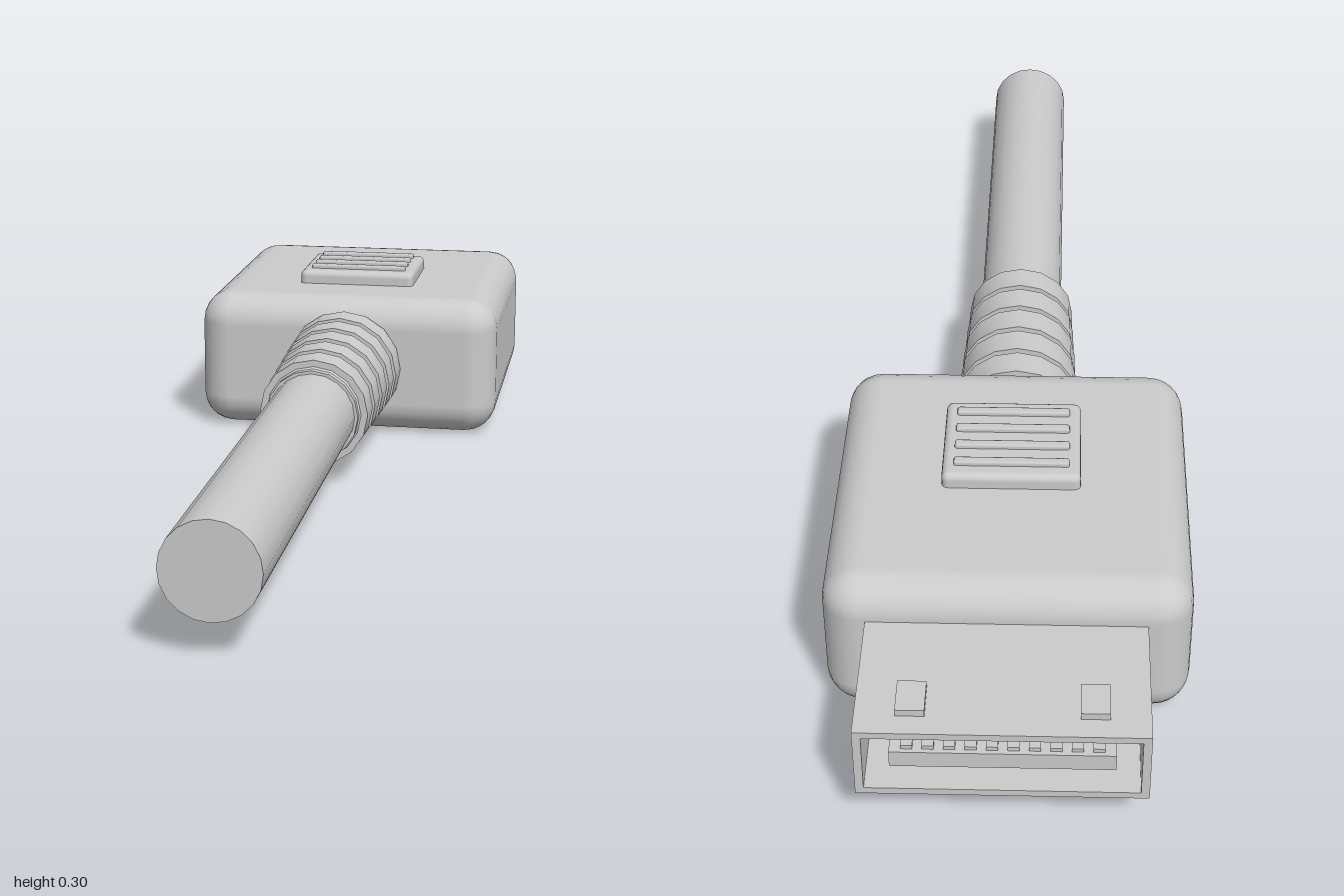
import * as THREE from 'three';
import { toCreasedNormals } from 'three/addons/utils/BufferGeometryUtils.js';
import { RoundedBoxGeometry } from 'three/addons/geometries/RoundedBoxGeometry.js';

const AXIS_Y = 0.133; // height of the cable axis

export function createModel() {
  const model = new THREE.Group();
  const grey = new THREE.MeshStandardMaterial({ color: 0xcccccc });

  const add = (name, geometry, x, y, z, parent = model) => {
    const mesh = new THREE.Mesh(geometry, grey);
    mesh.name = name;
    mesh.position.set(x, y, z);
    parent.add(mesh);
    return mesh;
  };
  const group = (name) => {
    const g = new THREE.Group();
    g.name = name;
    model.add(g);
    return g;
  };
  // Box given by its limits on each axis
  const block = (name, [x0, x1], [y0, y1], [z0, z1], parent) =>
    add(name, new THREE.BoxGeometry(x1 - x0, y1 - y0, z1 - z0),
      (x0 + x1) / 2, (y0 + y1) / 2, (z0 + z1) / 2, parent);

  // Moulded body
  add('body', new RoundedBoxGeometry(0.585, 0.266, 0.595, 3, 0.06), 0, AXIS_Y, -0.473);

  // Thumb pad with grip ridges
  const pad = group('thumbPad');
  add('padBase', new RoundedBoxGeometry(0.228, 0.05, 0.2, 2, 0.012), 0, 0.267, -0.42, pad);
  for (let i = 0; i < 4; i++) {
    add('gripRidge', new RoundedBoxGeometry(0.19, 0.02, 0.016, 1, 0.004), 0, 0.29, -0.354 - i * 0.044, pad);
  }

  // Strain relief: tapering rings separated by grooves
  const profile = [[0, -0.2], [0.094, -0.2]];
  for (let i = 0; i < 5; i++) {
    const z = -0.172 + i * 0.071;
    const r = 0.111 - i * 0.003;
    profile.push([r - 0.013, z], [r, z], [r - 0.001, z + 0.056], [r - 0.013, z + 0.056]);
  }
  profile.push([0.083, 0.172], [0.083, 0.186], [0, 0.186]);
  const relief = new THREE.LatheGeometry(profile.map(([r, z]) => new THREE.Vector2(r, z)), 16);
  relief.rotateX(Math.PI / 2);
  add('strainRelief', toCreasedNormals(relief, 0.6), 0, AXIS_Y, 0);

  // Cable
  const cable = new THREE.CylinderGeometry(0.077, 0.077, 0.84, 20);
  cable.rotateX(Math.PI / 2);
  add('cable', cable, 0, AXIS_Y, 0.58);

  // Hollow metal plug shell
  const plug = group('plug');
  const rect = (Type, w, h) => {
    const path = new Type();
    path.moveTo(-w, -h).lineTo(w, -h).lineTo(w, h).lineTo(-w, h).closePath();
    return path;
  };
  const outline = rect(THREE.Shape, 0.22, 0.065);
  outline.holes.push(rect(THREE.Path, 0.207, 0.053));
  add('plugShell', new THREE.ExtrudeGeometry(outline, { depth: 0.25, bevelEnabled: false }), 0, 0.14, -1, plug);
  block('plugFloor', [-0.21, 0.21], [0.08, 0.2], [-0.8, -0.765], plug);

  // Contact tongue inside the shell
  block('tongue', [-0.17, 0.17], [0.108, 0.138], [-0.975, -0.78], plug);
  for (let i = 0; i < 10; i++) {
    const x = -0.144 + i * 0.032;
    block('contact', [x - 0.009, x + 0.009], [0.136, 0.145], [-0.968, -0.78], plug);
  }

  // Latch bumps on top of the shell
  for (const side of [-1, 1]) {
    const x = side * 0.137;
    block('latch', [x - 0.022, x + 0.022], [0.195, 0.217], [-0.965, -0.905], plug);
  }

  return model;
}
